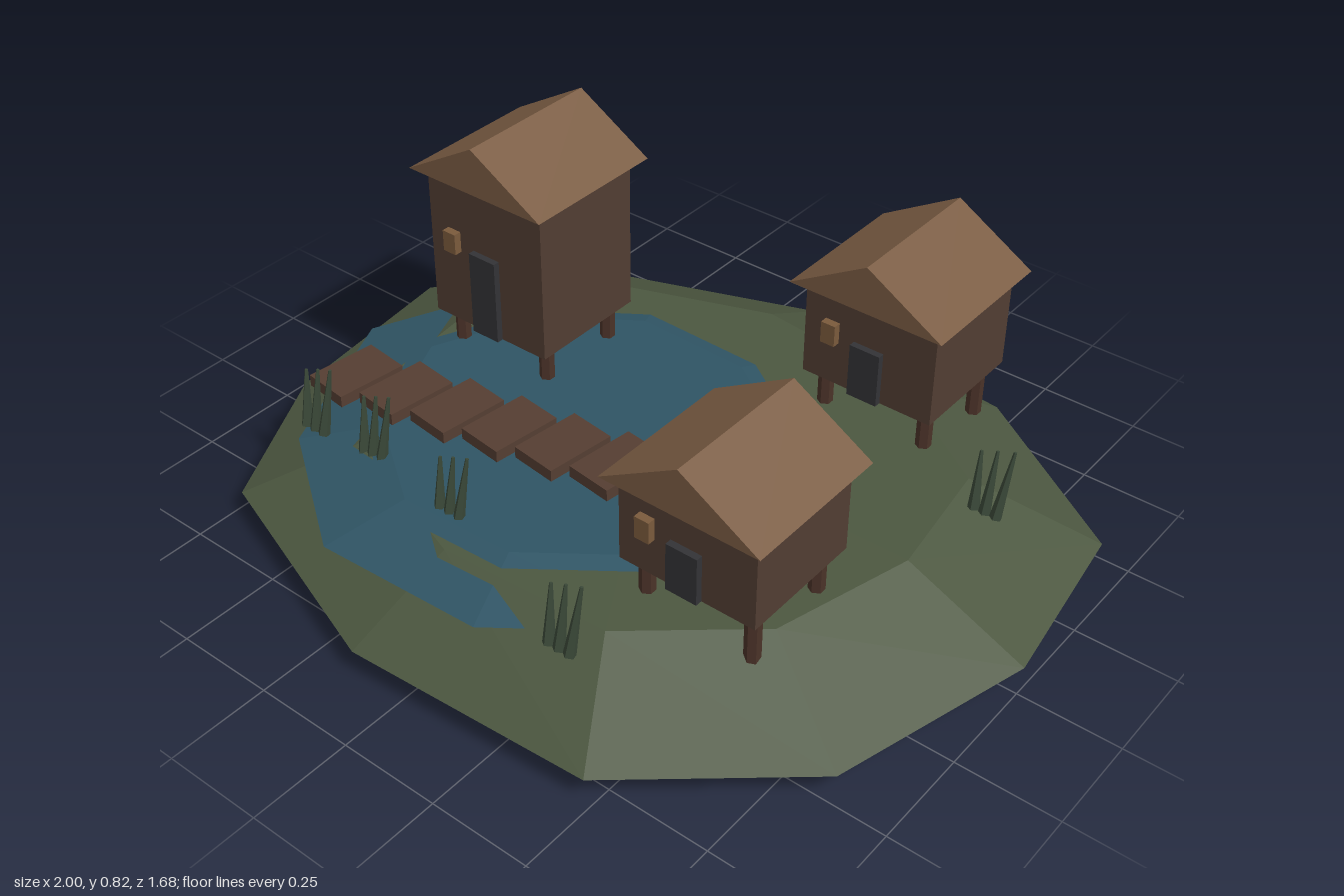
import * as THREE from 'three';

const mat = (name, color) => {
  const m = new THREE.MeshStandardMaterial({ color, flatShading: true });
  m.name = name;
  return m;
};

// Closed solid through stacked rings; each ring is the outline scaled about a centre.
function loft(outline, [cx, cz], rings) {
  const pos = [];
  const n = outline.length;
  const at = ([s, y], i) => {
    const [x, z] = outline[i % n];
    return [cx + (x - cx) * s, y, cz + (z - cz) * s];
  };
  const last = rings[rings.length - 1];
  for (let i = 0; i < n; i++) {
    for (let r = 0; r + 1 < rings.length; r++) {
      const a0 = at(rings[r], i), a1 = at(rings[r], i + 1);
      const b0 = at(rings[r + 1], i), b1 = at(rings[r + 1], i + 1);
      pos.push(...a0, ...b0, ...b1, ...a0, ...b1, ...a1);
    }
    pos.push(cx, last[1], cz, ...at(last, i + 1), ...at(last, i));
    pos.push(cx, rings[0][1], cz, ...at(rings[0], i), ...at(rings[0], i + 1));
  }
  const g = new THREE.BufferGeometry();
  g.setAttribute('position', new THREE.Float32BufferAttribute(pos, 3));
  g.computeVertexNormals();
  return g;
}

export function createModel() {
  const root = new THREE.Group();
  root.name = 'stiltVillage';

  const grass = mat('grass', 0x4c5740);
  const water = mat('water', 0x2f5464);
  const wall = mat('wall wood', 0x513d32);
  const roofMat = mat('roof wood', 0x7a5c43);
  const post = mat('post wood', 0x4a3228);
  const plank = mat('plank wood', 0x553e32);
  const doorMat = mat('door', 0x333336);
  const shutter = mat('shutter', 0x7a5a3c);
  const reedMat = mat('reed', 0x3a4838);

  const add = (parent, name, geo, material, x = 0, y = 0, z = 0) => {
    const m = new THREE.Mesh(geo, material);
    m.name = name;
    m.position.set(x, y, z);
    parent.add(m);
    return m;
  };

  // Island: faceted mound with undercut base
  const shore = [
    [-0.12, -0.845], [0.48, -0.78], [0.935, -0.48], [1, -0.02], [0.865, 0.48], [0.48, 0.805],
    [-0.14, 0.84], [-0.73, 0.63], [-0.935, 0.24], [-1, -0.28], [-0.68, -0.64],
  ];
  add(root, 'island', loft(shore, [0, 0], [[0.825, 0], [1, 0.06], [0.7, 0.2]]), grass);

  // Pond: shallow faceted sheet resting in the mound
  const pond = [
    [-0.7, -0.32], [-0.38, -0.54], [0.06, -0.53], [0.44, -0.28], [0.53, 0.08],
    [0.41, 0.46], [0.09, 0.7], [-0.34, 0.72], [-0.67, 0.49], [-0.865, 0.06],
  ];
  add(root, 'pond', loft(pond, [-0.13, 0.08], [[0.83, 0.15], [1, 0.165], [0.7, 0.21]]), water);

  // Stilt houses
  const postGeo = new THREE.CylinderGeometry(0.019, 0.019, 0.145, 6);
  const gable = new THREE.Shape([
    new THREE.Vector2(-0.203, 0), new THREE.Vector2(0.203, 0), new THREE.Vector2(0, 0.12),
  ]);
  const roofGeo = new THREE.ExtrudeGeometry(gable, { depth: 0.385, bevelEnabled: false });
  roofGeo.translate(0, 0, -0.1925);

  function house(name, x, z, height) {
    const h = new THREE.Group();
    h.name = name;
    h.position.set(x, 0.3, z);
    root.add(h);
    add(h, 'walls', new THREE.BoxGeometry(0.35, height, 0.32), wall, 0, height / 2, 0);
    add(h, 'roof', roofGeo, roofMat, 0, height, 0);
    const doorH = height * 0.55;
    add(h, 'door', new THREE.BoxGeometry(0.08, doorH, 0.02), doorMat, 0, doorH / 2, 0.167);
    add(h, 'window', new THREE.BoxGeometry(0.038, 0.055, 0.02), shutter, -0.1, height * 0.57, 0.17);
    for (const sx of [-1, 1]) {
      for (const sz of [-1, 1]) add(h, 'stilt', postGeo, post, sx * 0.138, -0.062, sz * 0.113);
    }
  }
  house('tallHouse', -0.478, -0.135, 0.4);
  house('backHouse', 0.368, -0.49, 0.25);
  house('frontHouse', 0.46, 0.295, 0.22);

  // Plank walkway over the pond
  const plankGeo = new THREE.BoxGeometry(0.122, 0.03, 0.182);
  for (let i = 0; i < 6; i++) {
    const p = add(root, 'walkwayPlank', plankGeo, plank, -0.657 + i * 0.141, 0.25, 0.304 - i * 0.0255);
    p.rotation.y = -0.12;
  }

  // Reed clumps, three leaning blades each
  const clumps = [[-0.64, 0.46], [-0.46, 0.45], [-0.17, 0.5], [0.29, 0.655], [0.74, -0.265]];
  for (const [x, z] of clumps) {
    const clump = new THREE.Group();
    clump.name = 'reeds';
    clump.position.set(x, 0.19, z);
    root.add(clump);
    for (let i = 0; i < 3; i++) {
      const len = 0.145 + i * 0.015;
      const geo = new THREE.CylinderGeometry(0.004, 0.015, len, 5);
      geo.translate(0, len / 2, 0);
      const blade = add(clump, 'reedBlade', geo, reedMat, (i - 1) * 0.028, 0, 0);
      blade.rotation.set(-0.17, 0, (1 - i) * 0.07);
    }
  }

  return root;
}
